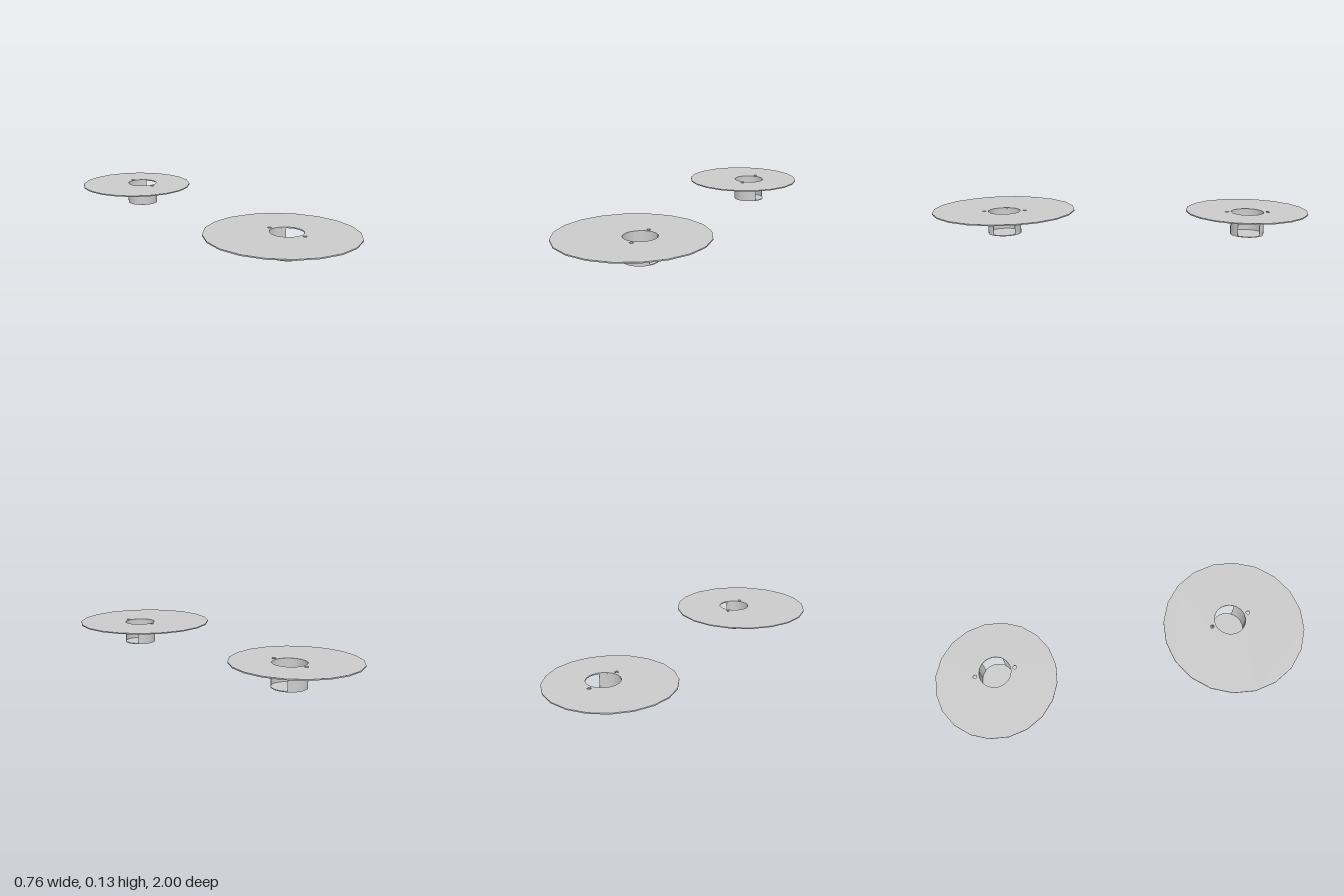
import * as THREE from 'three';

const material = new THREE.MeshStandardMaterial({ color: 0xcccccc });
const INNER = 0.0845, OUTER = 0.087, THICK = 0.006, FLOOR = 0.004;

// Points along an arc, in a plane where +y points to the back
function arc(cx, cy, r, from, to, n) {
  return Array.from({ length: n + 1 }, (_, i) => {
    const a = from + (to - from) * i / n;
    return new THREE.Vector2(cx + r * Math.cos(a), cy + r * Math.sin(a));
  });
}
const circle = (cx, cy, r, n) => arc(cx, cy, r, 0, Math.PI * 2, n).slice(0, n);

// Extrudes a flat outline upwards
function slab(name, shape, y, height) {
  const geometry = new THREE.ExtrudeGeometry(shape, { depth: height, bevelEnabled: false });
  geometry.rotateX(-Math.PI / 2);
  const mesh = new THREE.Mesh(geometry, material);
  mesh.name = name;
  mesh.position.y = y;
  return mesh;
}

// Thin disc with an off-centre cup that is open on one side, and two pin holes
function makePlate({ name, x, z, radius, base, cupX, cupZ, turn }) {
  const group = new THREE.Group();
  group.name = name;
  const cx = cupX - x, cy = z - cupZ;
  const underside = base + 0.113;

  const disc = new THREE.Shape(circle(0, 0, radius, 20));
  disc.holes.push(new THREE.Path(circle(cx, cy, INNER, 32)));
  for (const side of [1, -1]) {
    const a = turn + side * Math.PI / 2;
    disc.holes.push(new THREE.Path(
      circle(cx + 0.107 * Math.cos(a), cy + 0.107 * Math.sin(a), 0.01, 12)));
  }
  group.add(slab('disc', disc, underside, THICK));

  // Cup wall, leaving a window of 80 degrees
  const gap = THREE.MathUtils.degToRad(40);
  const from = turn + gap, to = turn + Math.PI * 2 - gap;
  const wall = new THREE.Shape([
    ...arc(cx, cy, OUTER, from, to, 26),
    ...arc(cx, cy, INNER, to, from, 26),
  ]);
  group.add(slab('cupWall', wall, base + FLOOR, underside - base - FLOOR));
  group.add(slab('cupFloor', new THREE.Shape(circle(cx, cy, OUTER, 32)), base, FLOOR));

  group.position.set(x, 0, z);
  return group;
}

export function createModel() {
  const model = new THREE.Group();
  model.name = 'cupPlates';
  model.add(
    makePlate({
      name: 'largeFrontPlate', x: 0, z: 0.62, radius: 0.38, base: 0,
      cupX: 0.04, cupZ: 0.612, turn: THREE.MathUtils.degToRad(8),
    }),
    makePlate({
      name: 'smallRearPlate', x: 0.024, z: -0.68, radius: 0.321, base: 0.007,
      cupX: 0.065, cupZ: -0.68, turn: 0,
    }),
  );
  return model;
}
